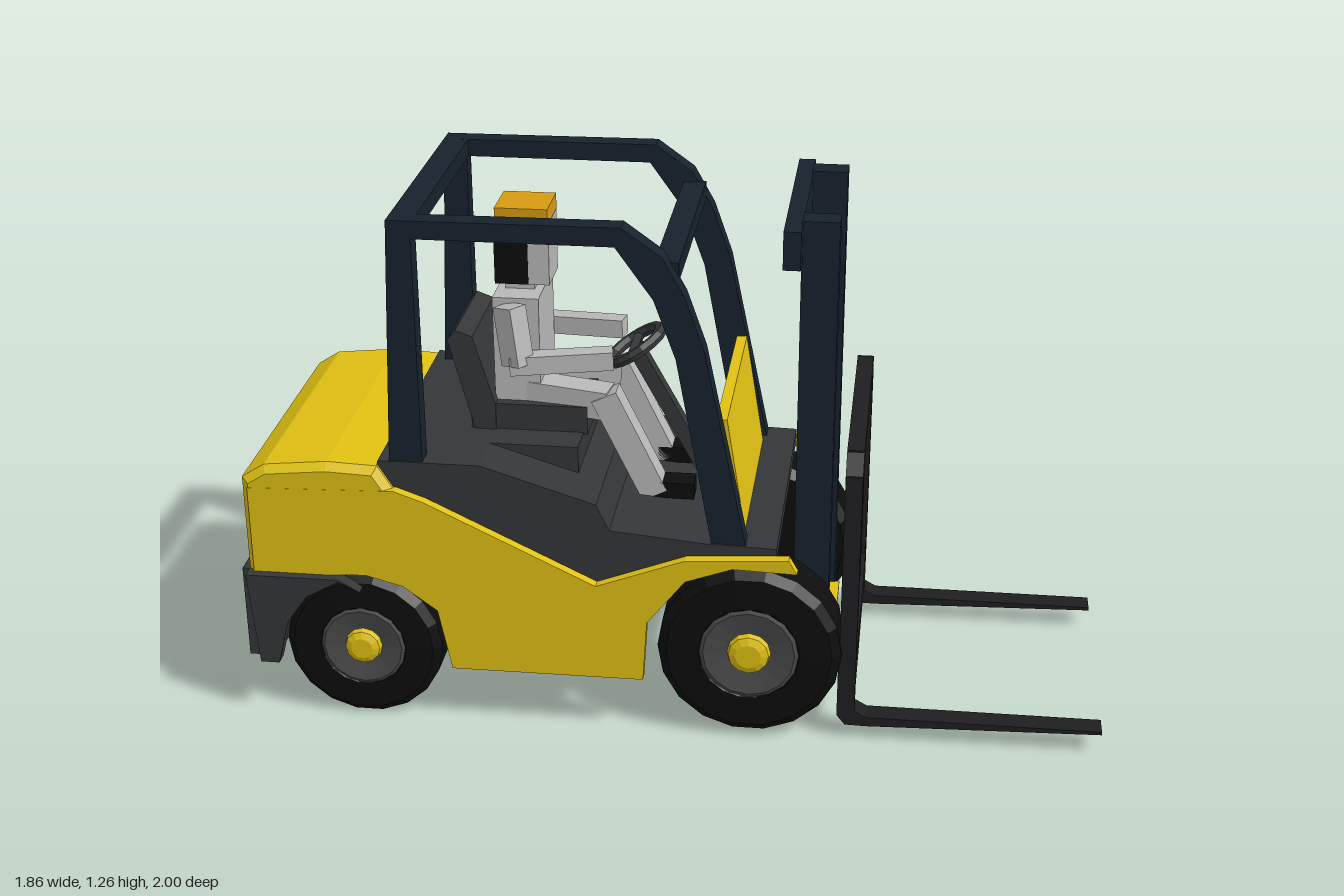
import * as THREE from 'three';

const mat = (color) => new THREE.MeshStandardMaterial({ color, flatShading: true, side: THREE.DoubleSide });
const M = {
  yellow: mat(0xe0c112), navy: mat(0x16222d), grey: mat(0x343638), tyre: mat(0x0d0d0d),
  steel: mat(0x1e1e21), skin: mat(0xb8b8b8), orange: mat(0xd89a12), rim: mat(0x4a4a4a),
};

export function createModel() {
  const model = new THREE.Group();
  model.name = 'forklift';
  const truck = new THREE.Group();
  truck.name = 'truck';
  truck.rotation.y = 0.709; // parked at an angle
  model.add(truck);

  const add = (name, geo, material, parent = truck) => {
    const m = new THREE.Mesh(geo, material);
    m.name = name;
    parent.add(m);
    return m;
  };
  // Box given by its size and centre
  const box = (name, material, w, h, d, x, y, z) =>
    add(name, new THREE.BoxGeometry(w, h, d), material).position.set(x, y, z);
  // Side profile [z, y] extruded across x, centred on cx
  const profile = (name, material, pts, width, cx = 0, bevel = 0) => {
    const shape = new THREE.Shape(pts.map((p) => new THREE.Vector2(p[0], p[1])));
    const depth = width - 2 * bevel;
    const geo = new THREE.ExtrudeGeometry(shape, {
      depth, bevelEnabled: bevel > 0, bevelSize: bevel, bevelThickness: bevel, bevelOffset: -bevel, bevelSegments: 1,
    });
    geo.translate(0, 0, -depth / 2).rotateY(-Math.PI / 2);
    add(name, geo, material).position.x = cx;
  };
  // Square bar from a to b
  const beam = (name, material, a, b, w, h) => {
    const p = new THREE.Vector3(...a), q = new THREE.Vector3(...b);
    const m = new THREE.Mesh(new THREE.BoxGeometry(w, h, p.distanceTo(q)), material);
    m.name = name;
    m.position.copy(p).lerp(q, 0.5);
    m.lookAt(q);
    truck.add(m);
  };

  // Rear hood and counterweight
  profile('hood', M.yellow, [[-0.985, 0.36], [-0.985, 0.62], [-0.93, 0.655], [-0.78, 0.67], [-0.66, 0.665],
    [-0.62, 0.6], [-0.62, 0.42], [-0.7, 0.38]], 0.72, 0, 0.018);
  box('rearBumper', M.grey, 0.7, 0.235, 0.07, 0, 0.2625, -0.967);
  // Engine cover with a step down to the cab floor
  profile('engineCover', M.grey, [[-0.68, 0.58], [-0.66, 0.675], [-0.42, 0.675], [-0.15, 0.59], [-0.12, 0.525],
    [0.1, 0.505], [0.27, 0.5], [0.27, 0.465], [0.06, 0.455], [-0.15, 0.39], [-0.62, 0.46]], 0.67);
  box('seatPlatform', M.grey, 0.42, 0.1, 0.38, 0, 0.625, -0.4);
  // Dashboard and front belly plate
  profile('dashboard', M.yellow, [[0.1, 0.5], [0.12, 0.785], [0.145, 0.785], [0.19, 0.5]], 0.51);
  box('frontPlate', M.yellow, 0.31, 0.015, 0.18, 0, 0.152, 0.31);

  // Tyre, rim and hub, turned around the axle
  const wheel = (name, side, r, y, z) => {
    const g = new THREE.Group();
    g.name = name;
    g.position.set(side * 0.285, y, z);
    g.rotation.z = -side * Math.PI / 2;
    const turn = (part, pts, material, n) =>
      add(part, new THREE.LatheGeometry(pts.map((p) => new THREE.Vector2(...p)), n), material, g);
    turn('tyre', [[0, -0.075], [r * 0.9, -0.075], [r, -0.055], [r, 0.05], [r * 0.9, 0.068],
      [r * 0.55, 0.07], [r * 0.5, 0.055], [0, 0.055]], M.tyre, 18);
    turn('rim', [[r * 0.54, 0.068], [r * 0.5, 0.072], [r * 0.25, 0.062], [0, 0.062]], M.rim, 16);
    turn('hub', [[r * 0.24, 0.06], [r * 0.22, 0.076], [r * 0.14, 0.084], [0, 0.084]], M.yellow, 12);
    truck.add(g);
  };

  for (const s of [-1, 1]) {
    // Side panel with wheel arches
    profile('sidePanel', M.yellow, [[-0.97, 0.37], [-0.97, 0.6], [-0.62, 0.61], [-0.55, 0.585], [-0.15, 0.39],
      [0.06, 0.47], [0.3, 0.485], [0.32, 0.45], [0.17, 0.455], [0.06, 0.415], [-0.03, 0.3], [-0.04, 0.145],
      [-0.5, 0.145], [-0.53, 0.3], [-0.61, 0.36], [-0.7, 0.385]], 0.025, s * 0.348);
    // Bumper wrapping round the rear wheel
    profile('bumperSide', M.grey, [[-0.985, 0.38], [-0.76, 0.38], [-0.71, 0.35], [-0.76, 0.375], [-0.84, 0.33],
      [-0.89, 0.26], [-0.92, 0.145], [-0.965, 0.145]], 0.035, s * 0.366);
    wheel('frontWheel', s, 0.218, 0.229, 0.21);
    wheel('rearWheel', s, 0.19, 0.188, -0.718);
    // Overhead guard side frame
    profile('guardFrame', M.navy, [[-0.635, 0.64], [-0.61, 1.262], [-0.085, 1.265], [0.005, 1.2], [0.055, 1.11],
      [0.1, 0.98], [0.2, 0.49], [0.12, 0.49], [0.035, 0.96], [-0.015, 1.1], [-0.1, 1.22], [-0.555, 1.22],
      [-0.555, 0.64]], 0.05, s * 0.305);
    // Mast rails
    box('mastRail', M.navy, 0.06, 1.14, 0.085, s * 0.18, 0.685, 0.345);
    // Backrest post and fork
    beam('backrestPost', M.steel, [s * 0.305, 0.06, 0.442], [s * 0.305, 0.69, 0.442], 0.045, 0.04);
    beam('backrestCorner', M.steel, [s * 0.308, 0.675, 0.442], [s * 0.27, 0.722, 0.442], 0.04, 0.04);
    profile('fork', M.steel, [[0.42, 0.2], [0.42, 0.06], [0.44, 0.035], [0.49, 0.034], [1.045, 0.05],
      [1.045, 0.058], [0.49, 0.058], [0.46, 0.075], [0.46, 0.2]], 0.055, s * 0.3);
    for (const x of [0.05, 0.15]) box('backrestBar', M.steel, 0.033, 0.42, 0.022, s * x, 0.365, 0.442);
  }
  box('backrestTop', M.steel, 0.56, 0.045, 0.04, 0, 0.713, 0.442);
  box('backrestMiddle', M.steel, 0.6, 0.03, 0.025, 0, 0.57, 0.442);
  box('forkCarriage', M.steel, 0.62, 0.065, 0.04, 0, 0.15, 0.442);
  box('mastTopBar', M.navy, 0.53, 0.09, 0.04, 0, 1.203, 0.285);
  box('mastBottomBar', M.navy, 0.36, 0.06, 0.05, 0, 0.15, 0.345);
  // Guard cross bars
  box('guardRearBar', M.navy, 0.6, 0.042, 0.06, 0, 1.241, -0.58);
  box('guardFrontBar', M.navy, 0.58, 0.045, 0.055, 0, 1.152, 0.01);

  // Seat
  box('seatCushion', M.grey, 0.25, 0.07, 0.28, 0, 0.705, -0.34);
  profile('seatBack', M.grey, [[-0.47, 0.67], [-0.53, 0.9], [-0.51, 0.925], [-0.47, 0.91], [-0.42, 0.74],
    [-0.42, 0.67]], 0.26);

  // Steering wheel and column
  const steering = add('steeringWheel', new THREE.TorusGeometry(0.072, 0.014, 6, 16), M.grey);
  steering.position.set(0, 0.855, -0.1);
  steering.rotation.x = 1.0;
  beam('steeringColumn', M.grey, [0, 0.52, 0.08], [0, 0.85, -0.1], 0.035, 0.035);
  beam('steeringSpoke', M.grey, [-0.07, 0.853, -0.1], [0.07, 0.853, -0.1], 0.02, 0.015);

  // Driver
  box('torso', M.skin, 0.2, 0.27, 0.11, 0, 0.865, -0.37);
  box('neck', M.skin, 0.07, 0.04, 0.07, 0, 1.01, -0.37);
  box('head', M.tyre, 0.12, 0.15, 0.08, 0, 1.095, -0.385);
  box('face', M.skin, 0.118, 0.15, 0.05, 0, 1.095, -0.32);
  box('cap', M.orange, 0.125, 0.045, 0.125, 0, 1.185, -0.358);
  for (const s of [-1, 1]) {
    beam('upperArm', M.skin, [s * 0.125, 0.99, -0.38], [s * 0.14, 0.85, -0.36], 0.05, 0.06);
    beam('forearm', M.skin, [s * 0.14, 0.85, -0.38], [s * 0.1, 0.86, -0.14], 0.045, 0.045);
    beam('thigh', M.skin, [s * 0.06, 0.755, -0.38], [s * 0.095, 0.745, -0.15], 0.07, 0.07);
    beam('shin', M.skin, [s * 0.1, 0.77, -0.16], [s * 0.1, 0.52, -0.04], 0.06, 0.065);
    box('shoe', M.tyre, 0.06, 0.04, 0.11, s * 0.1, 0.535, 0);
  }
  return model;
}
